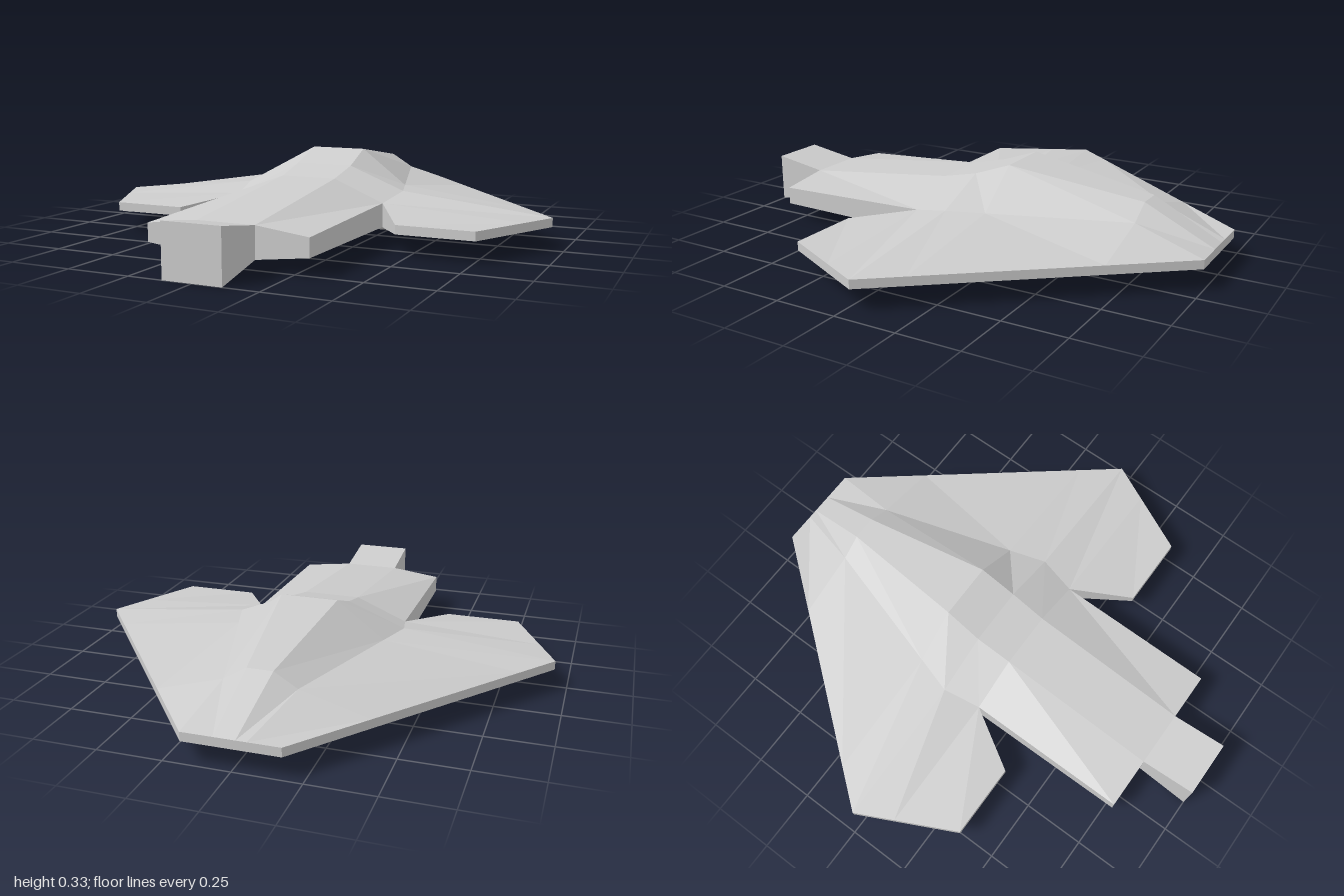
import * as THREE from 'three';

const material = new THREE.MeshStandardMaterial({ color: 0xcccccc, flatShading: true });

// Skin over rings of [x, y, z] points (clockwise seen from +z, rings ordered towards +z), capped at both ends.
function loft(name, rings) {
  const pos = [];
  const tri = (a, b, c) => pos.push(...a, ...b, ...c);
  const n = rings[0].length;
  for (let r = 0; r + 1 < rings.length; r++) {
    const a = rings[r], b = rings[r + 1];
    for (let i = 0; i < n; i++) {
      const j = (i + 1) % n;
      tri(a[i], b[i], a[j]);
      tri(a[j], b[i], b[j]);
    }
  }
  const first = rings[0], last = rings[rings.length - 1];
  for (let i = 1; i + 1 < n; i++) {
    tri(first[0], first[i], first[i + 1]);
    tri(last[0], last[i + 1], last[i]);
  }
  const geometry = new THREE.BufferGeometry();
  geometry.setAttribute('position', new THREE.Float32BufferAttribute(pos, 3));
  geometry.computeVertexNormals();
  const mesh = new THREE.Mesh(geometry, material);
  mesh.name = name;
  return mesh;
}

const mirror = (ring) => ring.map(([x, y, z]) => [-x, y, z]).reverse();

export function createModel() {
  const group = new THREE.Group();
  group.name = 'spacecraft';

  // Hull stations: z, ridge x and y, shoulder x, top y and bottom y, keel x and y
  const hull = [
    [-1.00, 0.02, 0.12, 0.06, 0.12, 0.085, 0.02, 0.085],
    [-0.72, 0.05, 0.25, 0.14, 0.195, 0.02, 0.05, 0.02],
    [-0.18, 0.115, 0.33, 0.304, 0.187, 0.02, 0.1, 0.02],
    [-0.03, 0.12, 0.275, 0.35, 0.185, 0.02, 0.115, 0.02],
    [0.12, 0.115, 0.24, 0.32, 0.155, 0.06, 0.115, 0.025],
    [0.78, 0.115, 0.165, 0.32, 0.14, 0.07, 0.115, 0.045],
  ];
  group.add(loft('hull', hull.map(([z, rx, ry, sx, st, sb, kx, ky]) => {
    const half = [[rx, ry, z], [sx, st, z], [sx, sb, z], [kx, ky, z]];
    return [...half, ...mirror(half)];
  })));

  // Wings: inner edge follows the hull shoulder, then splits off into a forward prong
  const rimX = [0.18, 0.402, 0.831, 0.95, 0.876];
  const wing = rimX.map((x, i) => {
    const [z, , , sx, top, bottom] = hull[i];
    return [[sx, top, z], [x, 0.12, z], [x, 0.085, z], [sx, bottom, z]];
  });
  wing.push([[0.46, 0.12, 0.355], [0.76, 0.12, 0.355], [0.76, 0.085, 0.355], [0.46, 0.085, 0.355]]);
  group.add(loft('leftWing', wing));
  group.add(loft('rightWing', wing.map(mirror)));

  // Flared nose block
  const noseRing = (z, bottom, top) =>
    [[0.115, top, z], [0.115, bottom, z], [-0.115, bottom, z], [-0.115, top, z]];
  group.add(loft('nose', [noseRing(0.78, 0.045, 0.165), noseRing(1, 0, 0.2)]));

  return group;
}
